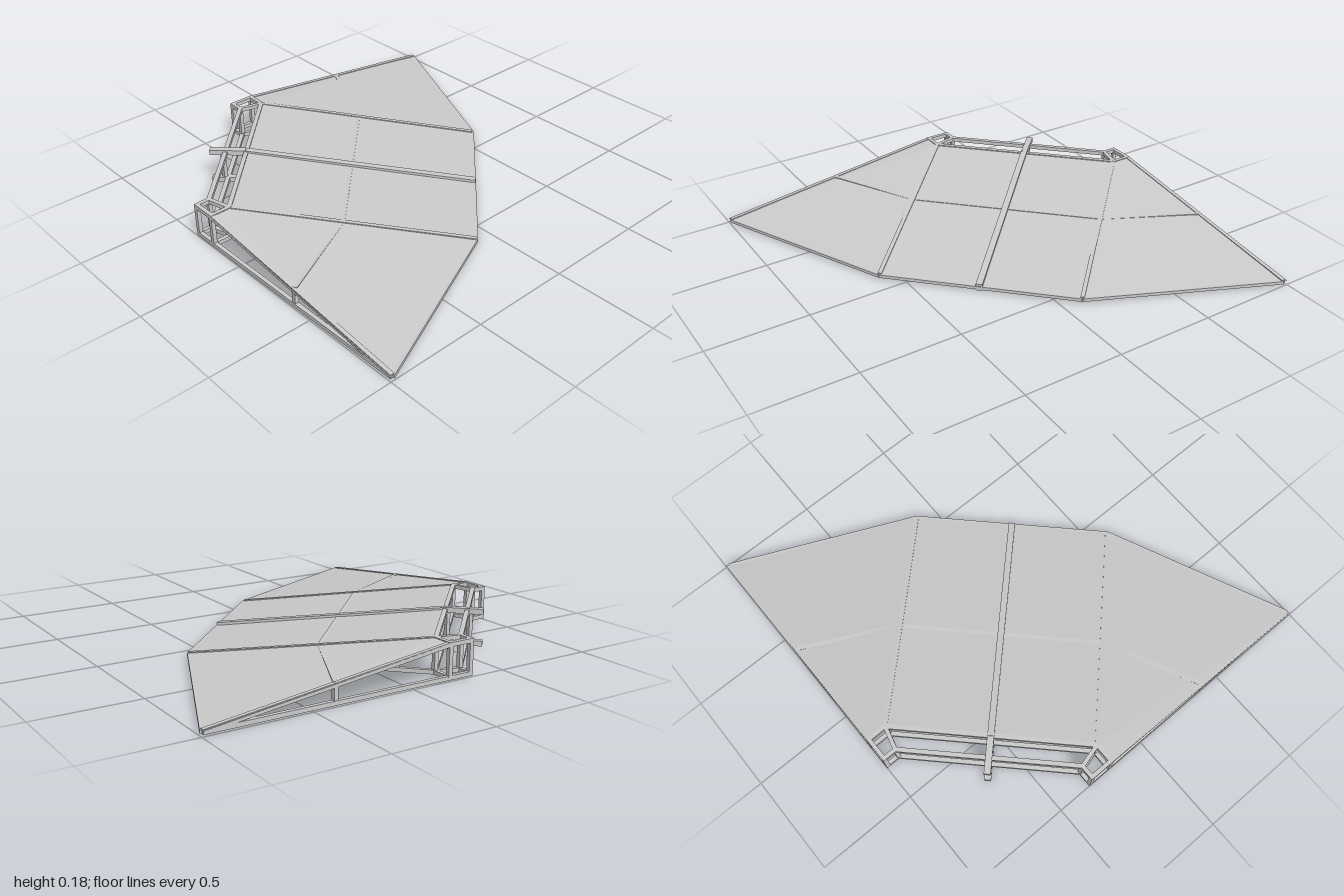
import * as THREE from 'three';

export function createModel() {
  const root = new THREE.Group();
  root.name = 'cornerRamp';
  const steel = new THREE.MeshStandardMaterial({ color: 0xcccccc, flatShading: true });
  const sheet = new THREE.MeshStandardMaterial({ color: 0xcccccc, flatShading: true, side: THREE.DoubleSide });

  const TOP = 0.165, LOW = 0.015, T = 0.02;
  const V = (x, y, z) => new THREE.Vector3(x, y, z);
  const at = (p, y) => V(p[0], y, p[1]);
  // Mirror plan point across the ramp's diagonal
  const flip = ([x, z]) => [-z, -x];

  // Square bar between two points
  function bar(name, a, b, w = T, h = T, extra = 0) {
    const mesh = new THREE.Mesh(new THREE.BoxGeometry(w, h, a.distanceTo(b) + extra), steel);
    mesh.position.copy(a).add(b).multiplyScalar(0.5);
    if (Math.abs(a.x - b.x) + Math.abs(a.z - b.z) < 1e-6) mesh.rotation.x = Math.PI / 2;
    else mesh.lookAt(b);
    mesh.name = name;
    root.add(mesh);
  }
  const post = (p, y = TOP) => bar('post', at(p, LOW), at(p, y), 0.02, 0.02);

  // Plan points of one half (x, z)
  const innerEnd = [-0.2, 0.99], inner = [-0.2, 0.895];
  const deckEnd = [-0.315, 0.99], deck = [-0.315, 0.925];
  const knee = [0.59, 0.1], tip = [0.99, 0.985];
  const midKnee = [0.16, 0.53], midEnd = [0.39, 0.985], MID = 0.095;
  const midRail = [-0.185, 0.185], toe = [0.25, -0.25];

  // Each half: side frame, radial bars, back frame and posts
  for (const m of [p => p, flip]) {
    const [ie, i, de, d, k, t, mk, me] =
      [innerEnd, inner, deckEnd, deck, knee, tip, midKnee, midEnd].map(m);
    for (const y of [TOP, LOW]) {
      bar('deckSide', at(de, y), at(ie, y), T, T, T);
      bar('deckCorner', at(de, y), at(d, y));
      bar('deckBrace', at(d, y), at(i, y));
      bar('innerEdge', at(i, y), at(ie, y));
    }
    bar('sideSlope', at(ie, TOP), at(t, LOW + 0.002));
    bar('sideBase', at(ie, LOW), at(t, LOW));
    bar('radialSlope', at(i, TOP), at(k, LOW + 0.003));
    bar('radialBase', at(i, LOW), at(k, LOW));
    bar('outerEdge', at(k, LOW), at(t, LOW), T, 0.016);
    bar('middleCrossbar', at(mk, MID - 0.002), at(me, MID - 0.002));
    [ie, i, de, d].forEach(p => post(p));
    post(mk, MID);
    post(me, MID);
  }

  // Bars that span the centre section
  for (const y of [TOP, LOW]) {
    bar('deckOuterRail', at(deck, y), at(flip(deck), y), 0.022);
    bar('deckInnerRail', at(inner, y), at(flip(inner), y), 0.022);
  }
  bar('outerEdge', at(knee, LOW), at(flip(knee), LOW), T, 0.016);
  bar('middleCrossbar', at(midKnee, MID), at(flip(midKnee), MID));

  // Central rail with stub ends projecting past the deck
  const stub = [-0.675, 0.675], lip = [-0.55, 0.55];
  bar('centreRailStub', at(stub, TOP + 0.004), at(lip, TOP + 0.004), 0.032, 0.026);
  bar('centreRailSlope', at(lip, TOP + 0.004), at(toe, LOW + 0.008), 0.032, 0.026);
  bar('centreRailBase', at(stub, LOW - 0.002), at(toe, LOW - 0.002), 0.032, 0.026);
  post([-0.63, 0.63]);
  post([-0.555, 0.555]);
  post(midRail, MID);

  // Sloping deck sheet: a centre panel and two folded side panels
  const lift = 0.007;
  const hi = p => at(p, TOP + lift), lo = p => at(p, LOW + lift);
  const cornerTip = [1, 1], cornerKnee = [0.6, 0.1], cornerEnd = [-0.2, 1];
  function panel(name, triangles) {
    const geo = new THREE.BufferGeometry().setFromPoints(triangles.flat());
    geo.computeVertexNormals();
    const mesh = new THREE.Mesh(geo, sheet);
    mesh.name = name;
    root.add(mesh);
  }
  const A = hi(inner), B = hi(flip(inner)), C = lo(cornerKnee), D = lo(flip(cornerKnee));
  panel('centrePanel', [[A, C, D], [A, D, B]]);
  panel('frontPanel', [[A, lo(cornerTip), C], [A, hi(cornerEnd), lo(cornerTip)]]);
  panel('backPanel', [[B, D, lo(flip(cornerTip))], [B, lo(flip(cornerTip)), hi(flip(cornerEnd))]]);

  return root;
}
